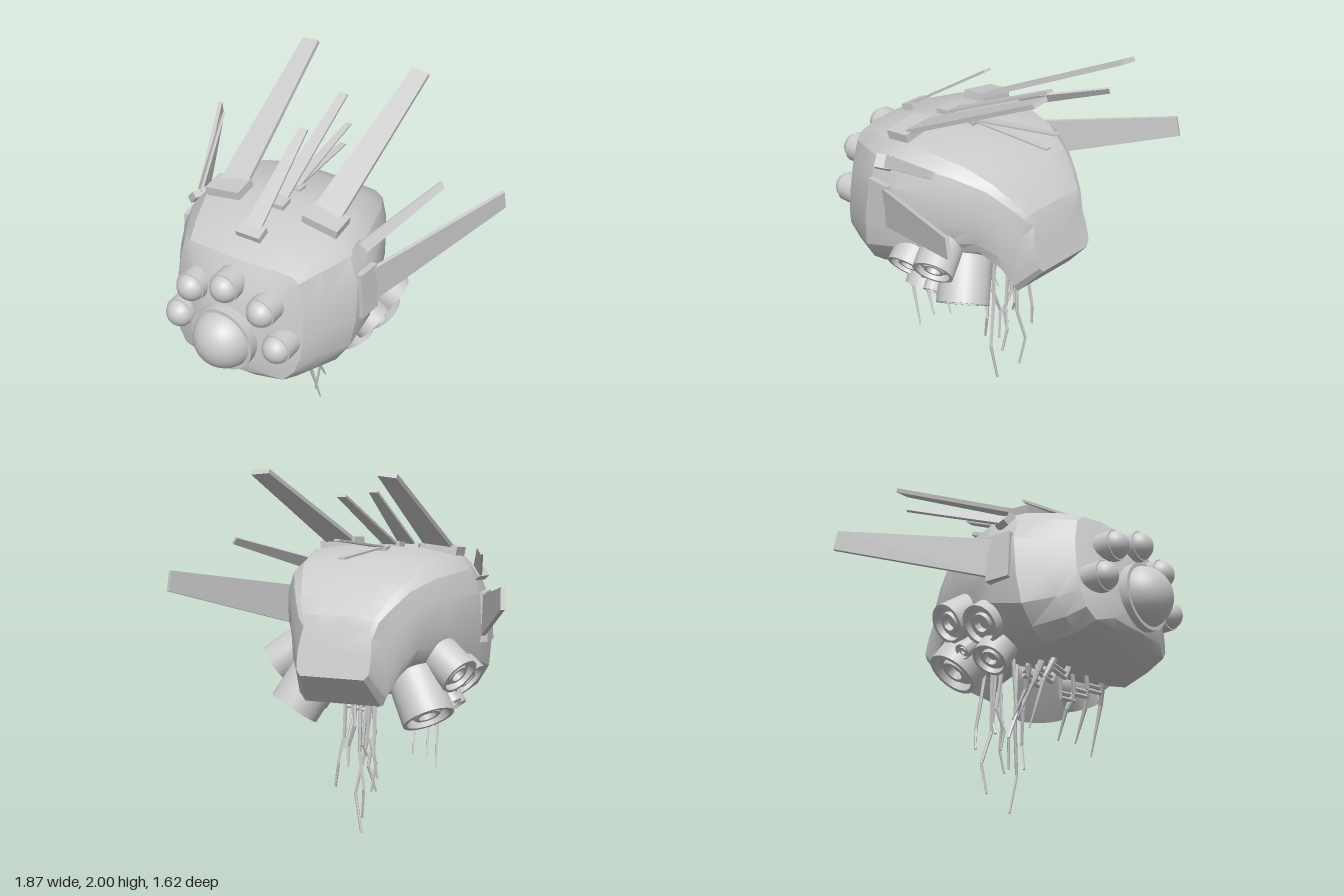
import * as THREE from 'three';
import { toCreasedNormals } from 'three/addons/utils/BufferGeometryUtils.js';

const grey = new THREE.MeshStandardMaterial({ color: 0xcccccc });
const V = (x, y, z) => new THREE.Vector3(x, y, z);
const UP = V(0, 1, 0);

function part(parent, name, geometry, crease = 0.6) {
  const mesh = new THREE.Mesh(toCreasedNormals(geometry, crease), grey);
  mesh.name = name;
  parent.add(mesh);
  return mesh;
}

// Hull: a rounded half profile that turns boxy towards the tail and bows at the front
function hullGeometry() {
  const round = [[0, 1], [0.37, 1], [0.74, 0.91], [0.88, 0.73], [0.98, 0.4], [1, -0.1],
    [0.96, -0.5], [0.83, -0.76], [0.66, -0.92], [0.4, -1], [0, -1]];
  const boxy = [[0, 1], [0.45, 1], [0.8, 0.98], [0.9, 0.9], [0.96, 0.45], [1, 0],
    [1, -0.5], [0.98, -0.8], [0.86, -1], [0.4, -1], [0, -1]];
  // z at top, z at bottom, top y, bottom y, half width, boxiness, bow
  const sections = [
    [0.63, 0.645, 1.14, 0.87, 0.17, 0, 0.01], [0.585, 0.63, 1.3, 0.8, 0.29, 0.3, 0.04],
    [0.52, 0.6, 1.425, 0.77, 0.395, 0.6, 0.06], [0.38, 0.47, 1.485, 0.71, 0.465, 0.2, 0.04],
    [0.18, 0.28, 1.53, 0.67, 0.55, 0, 0.01], [0, 0.04, 1.55, 0.75, 0.55, 0, 0],
    [-0.3, -0.2, 1.495, 0.87, 0.46, 0.15, 0], [-0.45, -0.39, 1.41, 0.95, 0.37, 0.5, 0],
    [-0.54, -0.51, 1.33, 0.89, 0.31, 0.8, 0], [-0.62, -0.565, 1.25, 0.78, 0.25, 1, 0],
    [-0.64, -0.71, 1.2, 0.94, 0.205, 1, 0]];
  const n = 2 * round.length - 2, last = sections.length - 1, pos = [], idx = [];
  for (const [zt, zb, top, bot, w, q, bow] of sections)
    for (let k = 0; k < n; k++) {
      const h = Math.min(k, n - k), side = k > n / 2 ? -1 : 1;
      const x = THREE.MathUtils.lerp(round[h][0], boxy[h][0], q) * side;
      const t = (THREE.MathUtils.lerp(round[h][1], boxy[h][1], q) + 1) / 2;
      pos.push(x * w, bot + (top - bot) * t, zb + (zt - zb) * t - bow * x * x);
    }
  const front = sections.length * n, back = front + 1;
  for (const s of [0, last]) {
    const [zt, zb, top, bot] = sections[s];
    pos.push(0, (top + bot) / 2, (zt + zb) / 2 + (s ? 0 : 0.005));
  }
  for (let k = 0; k < n; k++) {
    const j = (k + 1) % n;
    for (let s = 0; s < last; s++) {
      const a = s * n + k, b = s * n + j;
      idx.push(a, b, a + n, b, b + n, a + n);
    }
    idx.push(front, j, k, back, last * n + k, last * n + j);
  }
  const g = new THREE.BufferGeometry();
  g.setAttribute('position', new THREE.Float32BufferAttribute(pos, 3));
  g.setIndex(idx);
  return g;
}

// Tapered blade from base to tip, its width lying along a given direction
function blade(parent, name, base, tip, across, w0, w1, thick) {
  const g = new THREE.BoxGeometry(1, 1, 1), p = g.attributes.position;
  const along = tip.clone().sub(base), wide = across.clone().normalize();
  const deep = wide.clone().cross(along).normalize();
  for (let i = 0; i < p.count; i++) {
    const t = p.getY(i) + 0.5;
    const v = base.clone().addScaledVector(along, t)
      .addScaledVector(wide, p.getX(i) * (w0 + (w1 - w0) * t))
      .addScaledVector(deep, p.getZ(i) * thick);
    p.setXYZ(i, v.x, v.y, v.z);
  }
  part(parent, name, g, 0.4);
}

function block(parent, name, size, at, rot) {
  const m = part(parent, name, new THREE.BoxGeometry(...size), 0.4);
  m.position.set(...at);
  m.rotation.set(...rot);
}

// Chain of straight rods through points, tapering to the end
function rods(parent, name, points, r0, r1, sides) {
  const group = new THREE.Group();
  group.name = name;
  const n = points.length - 1;
  for (let i = 0; i < n; i++) {
    const a = V(...points[i]), b = V(...points[i + 1]), d = b.clone().sub(a);
    const r = t => r0 + (r1 - r0) * t / n;
    const m = part(group, name + 'Segment', new THREE.CylinderGeometry(r(i + 1), r(i), d.length(), sides));
    m.position.copy(a).add(b).multiplyScalar(0.5);
    m.quaternion.setFromUnitVectors(UP, d.normalize());
  }
  parent.add(group);
}

// Domed pod with a recessed nozzle at the outlet
function engine(parent, name, outlet, dir, r, len) {
  const pts = [];
  for (let i = 0; i <= 6; i++) {
    const a = i / 6 * Math.PI / 2;
    pts.push([Math.sin(a) * r, -len - Math.cos(a) * r * 0.9]);
  }
  pts.push([r, 0], [r * 0.84, 0], [r * 0.78, -0.3 * r], [r * 0.55, -0.3 * r],
    [r * 0.5, -0.1 * r], [r * 0.36, -0.1 * r], [r * 0.3, -0.4 * r], [0, -0.4 * r]);
  const m = part(parent, name, new THREE.LatheGeometry(pts.map(p => new THREE.Vector2(...p)), 28));
  m.position.set(...outlet);
  m.quaternion.setFromUnitVectors(UP, V(...dir).normalize());
}

// Round lens in a short barrel facing forward
function eye(parent, name, x, y, zBack, zFront, rBarrel, zBall, rBall) {
  const barrel = part(parent, name + 'Barrel', new THREE.CylinderGeometry(rBarrel, rBarrel, zFront - zBack, 32));
  barrel.rotation.x = Math.PI / 2;
  barrel.position.set(x, y, (zFront + zBack) / 2);
  part(parent, name + 'Lens', new THREE.SphereGeometry(rBall, 32, 20)).position.set(x, y, zBall);
}

export function createModel() {
  const root = new THREE.Group();
  root.name = 'drone';
  part(root, 'hull', hullGeometry(), 0.4);

  // Eyes
  eye(root, 'mainEye', 0, 1, 0.58, 0.675, 0.187, 0.64, 0.17);
  eye(root, 'topEye', 0, 1.31, 0.51, 0.645, 0.084, 0.632, 0.078);
  for (const s of [1, -1]) {
    eye(root, 'upperEye', s * 0.215, 1.23, 0.52, 0.635, 0.084, 0.622, 0.078);
    eye(root, 'sideEye', s * 0.3, 1.02, 0.51, 0.62, 0.084, 0.61, 0.078);
  }

  // Centre antennas
  block(root, 'antennaBase', [0.145, 0.04, 0.08], [0, 1.505, 0.37], [0.35, 0, 0]);
  blade(root, 'frontAntenna', V(0, 1.51, 0.38), V(0, 1.855, -0.15), V(1, 0, 0), 0.1, 0.05, 0.014);
  block(root, 'antennaBase', [0.12, 0.03, 0.08], [0, 1.55, 0.12], [0.1, 0, 0]);
  blade(root, 'tallAntenna', V(0, 1.55, 0.1), V(0, 1.86, -0.57), V(1, 0, 0), 0.085, 0.05, 0.014);
  block(root, 'antennaBase', [0.1, 0.03, 0.07], [0, 1.54, -0.06], [-0.05, 0, 0]);
  blade(root, 'middleAntenna', V(0, 1.552, -0.06), V(0, 1.64, -0.635), V(1, 0, 0), 0.065, 0.032, 0.01);
  blade(root, 'rearAntenna', V(0, 1.55, -0.08), V(0, 1.54, -0.575), V(1, 0, 0), 0.06, 0.035, 0.01);

  for (const s of [1, -1]) {
    // Fins and their mounts
    block(root, 'topFinBase', [0.21, 0.055, 0.14], [s * 0.298, 1.538, 0.12], [0.1, 0, -s * 0.16]);
    blade(root, 'topFin', V(s * 0.287, 1.555, 0.09), V(s * 0.345, 1.987, -0.8), V(1, -s * 0.1, 0), 0.165, 0.1, 0.024);
    block(root, 'smallFinBase', [0.04, 0.075, 0.09], [s * 0.505, 1.415, 0.115], [0, s * 0.35, s * 0.7]);
    blade(root, 'smallFin', V(s * 0.5, 1.42, 0.12), V(s * 0.695, 1.592, -0.42), V(-s * 0.6, 1, 0), 0.07, 0.04, 0.014);
    block(root, 'sideFinBase', [0.05, 0.27, 0.14], [s * 0.545, 1.18, 0.115], [0, -s * 0.1, s * 0.06]);
    blade(root, 'sideFin', V(s * 0.54, 1.18, 0.1), V(s * 0.92, 1.4, -0.735), V(-s * 0.05, 1, 0.2), 0.22, 0.11, 0.022);

    // Engine cluster
    engine(root, 'frontEngine', [s * 0.515, 0.845, -0.045], [s * 0.75, -0.6, -0.13], 0.113, 0.14);
    engine(root, 'upperEngine', [s * 0.535, 0.905, -0.255], [s * 0.77, -0.58, -0.27], 0.112, 0.18);
    engine(root, 'lowerEngine', [s * 0.41, 0.685, -0.06], [s * 0.52, -0.8, -0.1], 0.1, 0.13);
    engine(root, 'mainEngine', [s * 0.39, 0.683, -0.335], [s * 0.46, -0.82, -0.32], 0.142, 0.24);
    engine(root, 'smallEngine', [s * 0.48, 0.745, -0.19], [s * 0.65, -0.7, -0.2], 0.045, 0.15);

    // Folded legs under the belly
    const feet = [[0.27, 0.31, 0.1], [0.25, 0.4, 0.01], [0.2, 0.42, -0.07]];
    feet.forEach(([x, y, z], i) => {
      const hz = 0.225 - i * 0.09;
      for (const dy of [0, 0.03])
        rods(root, 'upperLeg', [[s * 0.06, 0.74, hz], [s * 0.1, 0.62 + dy, hz - 0.02], [s * 0.23, 0.64 + dy, hz - 0.02]], 0.012, 0.012, 6);
      rods(root, 'claw', [[s * 0.21, 0.7, hz], [s * (x - 0.02), 0.58, hz - 0.042], [s * x, y, z]], 0.02, 0.004, 6);
    });
  }

  // Hanging cables
  const cables = [
    [[0, 0.84, -0.2], [0.01, 0.5, -0.22], [0.065, 0.22, -0.25], [0.025, 0, -0.265]],
    [[-0.02, 0.94, -0.36], [-0.01, 0.48, -0.37], [-0.05, 0.29, -0.405], [-0.03, 0.12, -0.38]],
    [[0.02, 0.84, -0.14], [-0.01, 0.55, -0.15], [0.02, 0.36, -0.18], [-0.01, 0.21, -0.14]],
    [[0.06, 0.94, -0.37], [0.08, 0.55, -0.37], [0.1, 0.42, -0.4], [0.125, 0.28, -0.385]],
    [[-0.09, 0.93, -0.33], [-0.1, 0.6, -0.38], [-0.105, 0.48, -0.4], [-0.12, 0.35, -0.39]],
    [[-0.02, 0.87, -0.21], [0.01, 0.55, -0.21], [-0.045, 0.4, -0.22], [-0.02, 0.23, -0.235]],
    [[0.04, 0.93, -0.33], [0.02, 0.62, -0.36], [0.065, 0.5, -0.34], [0.06, 0.39, -0.36]],
    [[-0.05, 0.92, -0.3], [-0.03, 0.65, -0.34], [-0.02, 0.52, -0.35], [-0.035, 0.45, -0.32]]];
  for (const c of cables) rods(root, 'cable', c, 0.012, 0.007, 5);
  return root;
}
